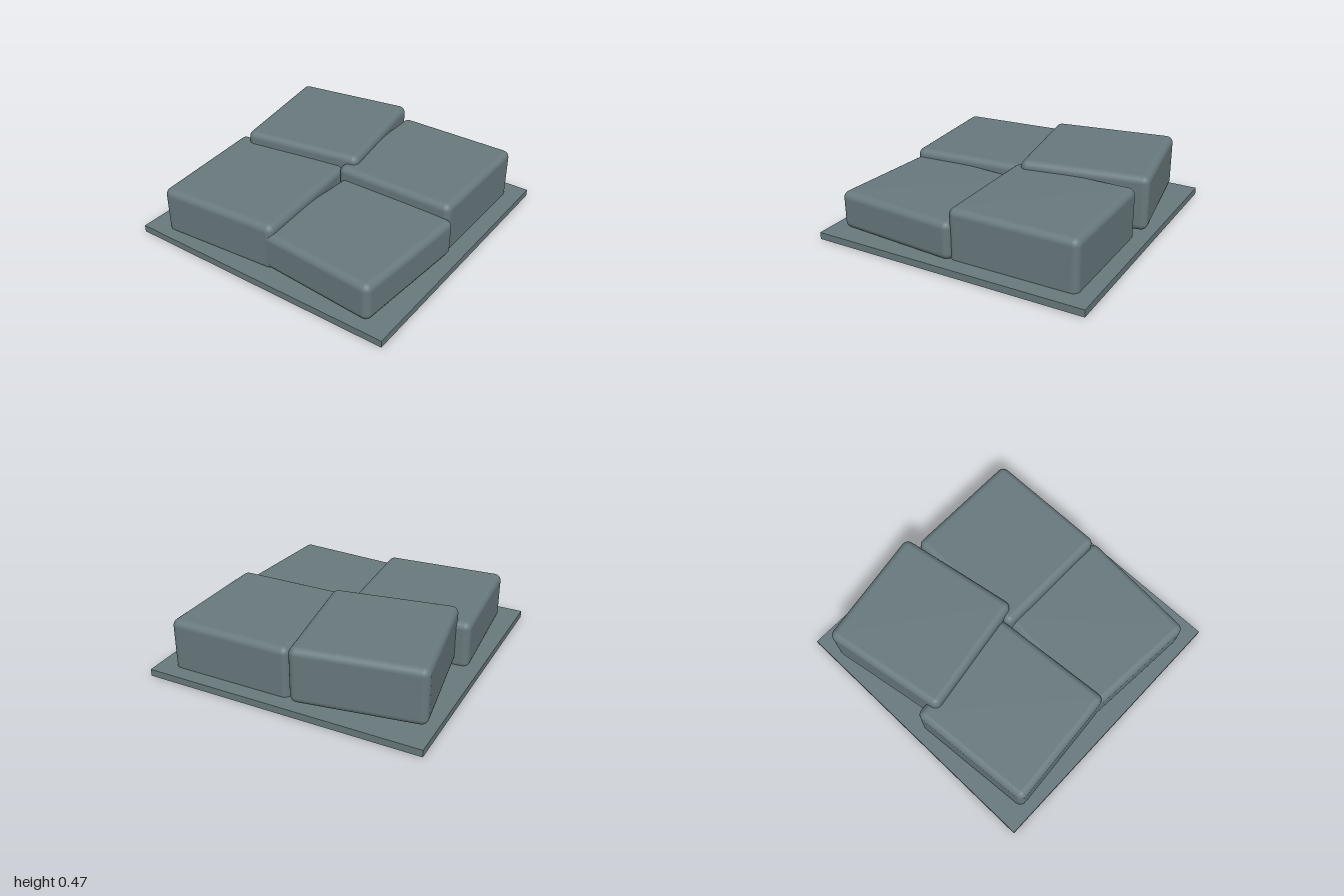
import * as THREE from 'three';
import { RoundedBoxGeometry } from 'three/addons/geometries/RoundedBoxGeometry.js';

export function createModel() {
  const model = new THREE.Group();
  model.name = 'stoneTile';

  const stone = new THREE.MeshStandardMaterial({ color: 0x68797d });
  stone.name = 'slate grey';

  // Thin square base plate
  const base = new THREE.Mesh(new THREE.BoxGeometry(2, 0.05, 2), stone);
  base.name = 'basePlate';
  base.position.y = 0.025;
  model.add(base);

  // Four rounded slabs, each turned a little and set at its own height
  const slabs = [
    { name: 'backRightSlab', x: -0.43, z: -0.43, bottom: 0.02, top: 0.375, turn: 0.075 },
    { name: 'backLeftSlab', x: 0.43, z: -0.43, bottom: 0.065, top: 0.465, turn: 0.163 },
    { name: 'frontRightSlab', x: -0.43, z: 0.43, bottom: 0.04, top: 0.315, turn: -0.075 },
    { name: 'frontLeftSlab', x: 0.43, z: 0.43, bottom: 0.01, top: 0.408, turn: 0 },
  ];
  for (const { name, x, z, bottom, top, turn } of slabs) {
    const slab = new THREE.Mesh(new RoundedBoxGeometry(0.92, top - bottom, 0.9, 3, 0.05), stone);
    slab.name = name;
    slab.position.set(x, (top + bottom) / 2, z);
    slab.rotation.y = turn;
    model.add(slab);
  }

  return model;
}
